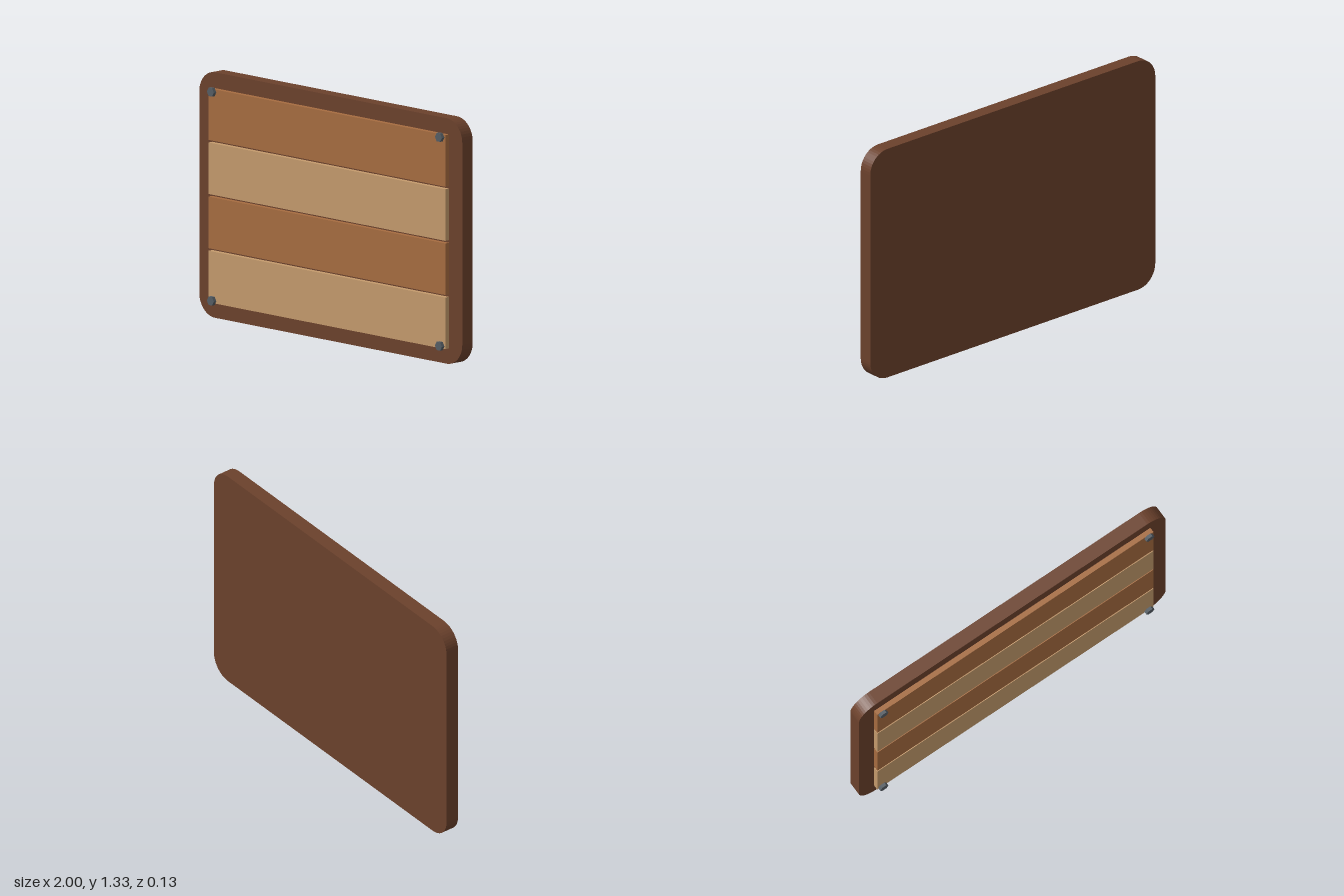
import * as THREE from 'three';

const material = (name, color) => {
  const m = new THREE.MeshStandardMaterial({ color });
  m.name = name;
  return m;
};

export function createModel() {
  const darkWood = material('dark wood', 0x6b412c);
  const midWood = material('mid wood', 0xa66c40);
  const lightWood = material('light wood', 0xc49a6c);
  const steel = material('steel', 0x555d64);

  const W = 2, H = 1.333, R = 0.12, midY = H / 2;
  const backZ = -0.063, boardZ = 0.015, plankZ = 0.044, boltZ = 0.063;

  const group = new THREE.Group();
  group.name = 'plankSign';
  const add = (name, geometry, mat, x, y, z) => {
    const mesh = new THREE.Mesh(geometry, mat);
    mesh.name = name;
    mesh.position.set(x, y, z);
    group.add(mesh);
  };

  // Backing board with rounded corners
  const outline = new THREE.Shape();
  const cx = W / 2 - R, cy = H / 2 - R;
  [[cx, cy], [-cx, cy], [-cx, -cy], [cx, -cy]].forEach(([x, y], i) =>
    outline.absarc(x, y, R, i * Math.PI / 2, (i + 1) * Math.PI / 2, false));
  outline.closePath();
  const board = new THREE.ExtrudeGeometry(outline, {
    depth: boardZ - backZ, bevelEnabled: false, curveSegments: 6,
  });
  add('backingBoard', board, darkWood, 0, midY, backZ);

  // Four planks in alternating tones, lightest at the bottom
  const plank = new THREE.BoxGeometry(1.8, 0.28, plankZ - boardZ);
  for (let i = 0; i < 4; i++) {
    add('plank' + (i + 1), plank, i % 2 ? midWood : lightWood,
      0, midY + (i - 1.5) * 0.294, (boardZ + plankZ) / 2);
  }

  // Hexagonal bolt heads at the corners, a point towards each side
  const bolt = new THREE.CylinderGeometry(0.0265, 0.0265, boltZ - plankZ, 6).toNonIndexed();
  bolt.rotateY(Math.PI / 2);
  bolt.rotateX(Math.PI / 2);
  bolt.computeVertexNormals();
  for (const sx of [-1, 1]) {
    for (const sy of [-1, 1]) {
      add((sy > 0 ? 'upper' : 'lower') + (sx > 0 ? 'Left' : 'Right') + 'Bolt', bolt, steel,
        sx * 0.867, midY + sy * 0.567, (plankZ + boltZ) / 2);
    }
  }
  return group;
}
